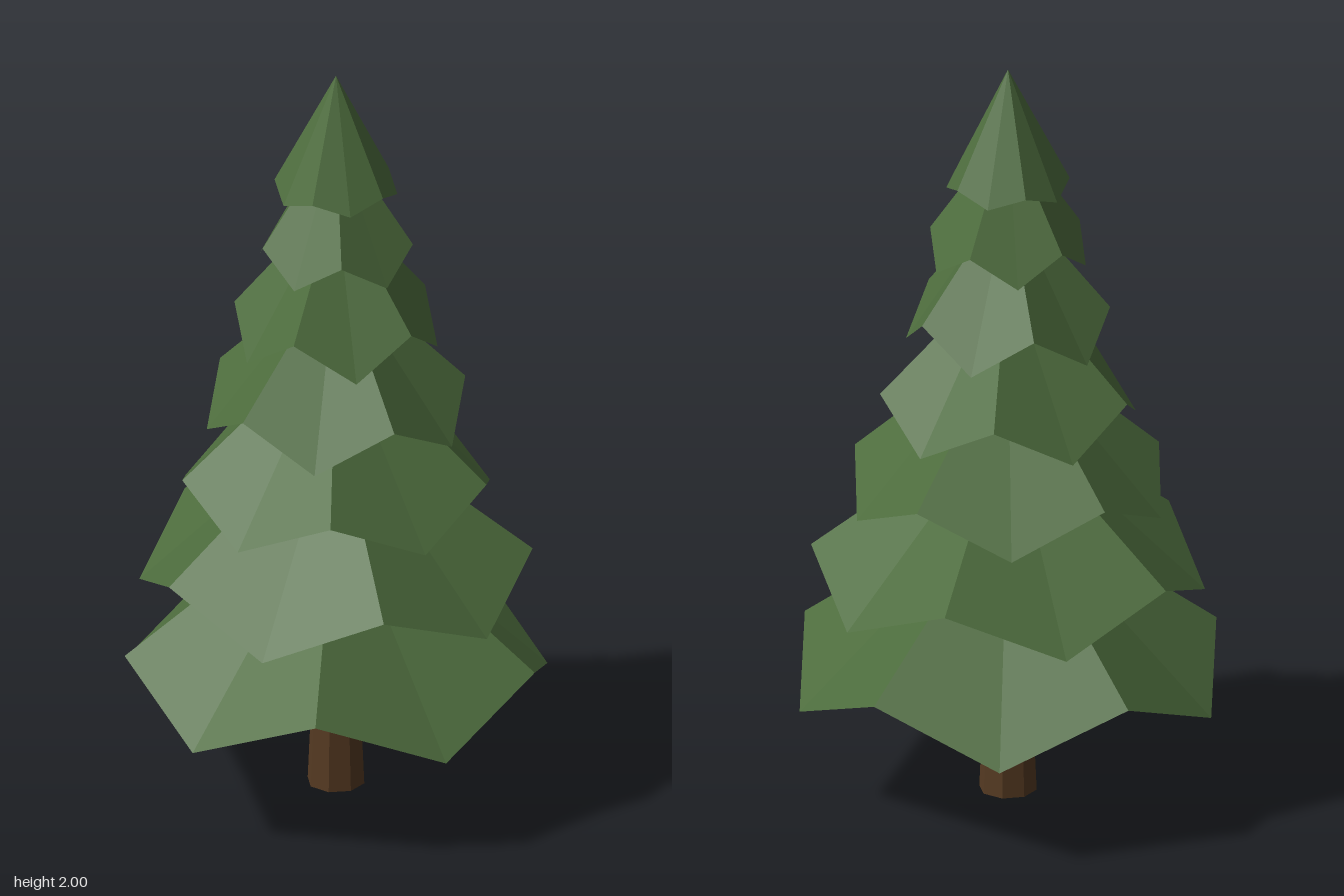
import * as THREE from 'three';

const needles = new THREE.MeshStandardMaterial({
  name: 'needle green', color: 0x4d6c3d, flatShading: true, side: THREE.DoubleSide });
const bark = new THREE.MeshStandardMaterial({ name: 'bark brown', color: 0x553a22, flatShading: true });

// Open ten-sided cone whose rim zigzags between drooping tips and raised notches.
function boughTier({ radius, apex, notch, tip, turn }) {
  const sides = 10;
  const rim = (i) => {
    const a = THREE.MathUtils.degToRad(turn + (i * 360) / sides);
    return [radius * Math.cos(a), i % 2 ? notch : tip, radius * Math.sin(a)];
  };
  const corners = [];
  for (let i = 0; i < sides; i++) corners.push(0, apex, 0, ...rim(i + 1), ...rim(i));
  const geometry = new THREE.BufferGeometry();
  geometry.setAttribute('position', new THREE.Float32BufferAttribute(corners, 3));
  geometry.computeVertexNormals();
  return new THREE.Mesh(geometry, needles);
}

// Tiers from bottom to top; turn is the angle of the first drooping tip in degrees.
const tiers = [
  { radius: 0.555, apex: 0.82, notch: 0.41, tip: 0.275, turn: 18 },
  { radius: 0.505, apex: 1.05, notch: 0.675, tip: 0.555, turn: -1.5 },
  { radius: 0.41, apex: 1.27, notch: 0.905, tip: 0.8, turn: 14.5 },
  { radius: 0.335, apex: 1.46, notch: 1.125, tip: 1.02, turn: -14 },
  { radius: 0.262, apex: 1.66, notch: 1.345, tip: 1.245, turn: 37 },
  { radius: 0.203, apex: 1.84, notch: 1.545, tip: 1.47, turn: 8.5 },
  { radius: 0.158, apex: 2.0, notch: 1.7, tip: 1.67, turn: 35 },
];

export function createModel() {
  const tree = new THREE.Group();
  tree.name = 'pineTree';

  // Tapered trunk running up inside the boughs
  const height = 1.4;
  const trunk = new THREE.Mesh(new THREE.CylinderGeometry(0.012, 0.075, height, 8), bark);
  trunk.name = 'trunk';
  trunk.position.y = height / 2;
  tree.add(trunk);

  // Stacked boughs
  tiers.forEach((tier, i) => {
    const mesh = boughTier(tier);
    mesh.name = `boughTier${i + 1}`;
    tree.add(mesh);
  });
  return tree;
}
